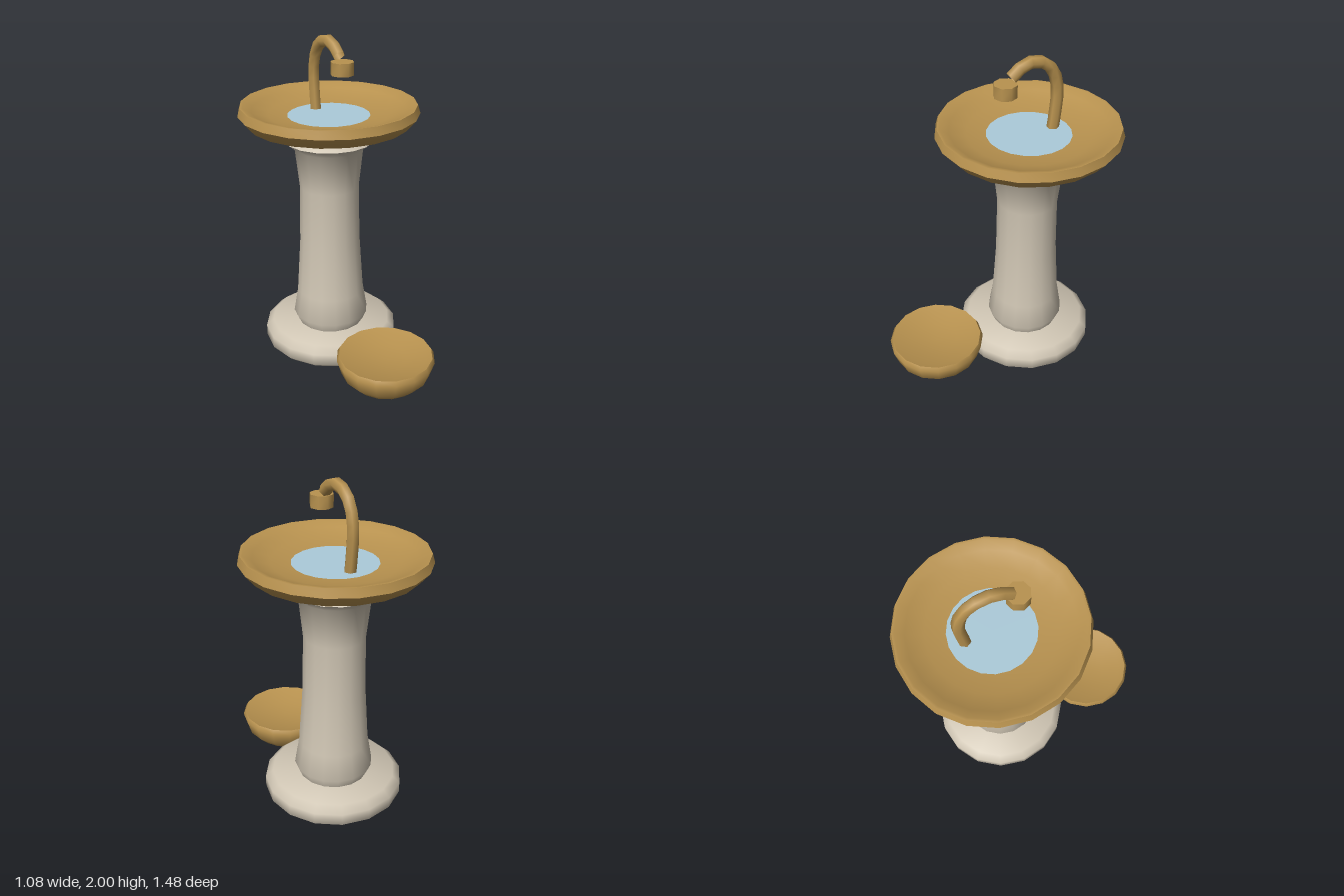
import * as THREE from 'three';
import { toCreasedNormals } from 'three/addons/utils/BufferGeometryUtils.js';

const AXIS_Z = -0.2; // centre line of pedestal and basin

const mat = (color) => new THREE.MeshStandardMaterial({ color, side: THREE.DoubleSide });

export function createModel() {
  const group = new THREE.Group();
  const stone = mat(0xd0c6b4);
  const brass = mat(0xb8924f);
  const water = mat(0xaccbda);
  const red = mat(0xb04a30);

  const add = (name, geometry, material, x, y, z) => {
    const mesh = new THREE.Mesh(geometry, material);
    mesh.name = name;
    mesh.position.set(x, y, z);
    group.add(mesh);
    return mesh;
  };

  // Turned part from [radius, height] pairs, running from the bottom up
  const turned = (name, profile, sides, material, z) => {
    const points = profile.map(([r, y]) => new THREE.Vector2(r, y));
    const geometry = toCreasedNormals(new THREE.LatheGeometry(points, sides), 0.95);
    return add(name, geometry, material, 0, 0, z);
  };

  // Round stone foot
  turned('base', [
    [0, 0], [0.38, 0], [0.425, 0.04], [0.425, 0.11], [0.38, 0.15], [0, 0.15],
  ], 16, stone, AXIS_Z);

  // Waisted column with flared collar
  turned('column', [
    [0.21, 0.14], [0.24, 0.21], [0.213, 0.37], [0.19, 0.72], [0.183, 1.08],
    [0.21, 1.33], [0.272, 1.38], [0.225, 1.42], [0.12, 1.432], [0, 1.435],
  ], 16, stone, AXIS_Z);

  // Upper dish, outside then inside
  turned('basin', [
    [0, 1.43], [0.15, 1.435], [0.34, 1.45], [0.485, 1.485], [0.54, 1.55],
    [0.525, 1.6], [0.51, 1.6], [0.46, 1.57], [0.36, 1.54], [0.25, 1.526], [0, 1.505],
  ], 20, brass, AXIS_Z);

  // Water surface
  const surface = new THREE.CircleGeometry(0.247, 20).rotateX(-Math.PI / 2);
  add('water', surface, water, 0, 1.53, AXIS_Z);

  // Low dish at the foot
  turned('lowerBowl', [
    [0, 0.035], [0.2, 0.035], [0.265, 0.1], [0.295, 0.195], [0.28, 0.22],
    [0.24, 0.208], [0.13, 0.185], [0, 0.175],
  ], 16, brass, 0.445);

  // Hooked spout
  const path = new THREE.CatmullRomCurve3([
    [1.515, -0.355], [1.62, -0.367], [1.77, -0.375], [1.88, -0.345],
    [1.945, -0.285], [1.966, -0.2], [1.95, -0.145], [1.9, -0.08],
  ].map(([y, z]) => new THREE.Vector3(0, y, z)));
  add('spout', new THREE.TubeGeometry(path, 10, 0.036, 6), brass, 0, 0, 0);

  // Nozzle below the spout tip
  const nozzle = new THREE.CylinderGeometry(0.068, 0.068, 0.075, 8);
  add('nozzle', toCreasedNormals(nozzle, 0.95), brass, 0, 1.838, -0.045);

  // Push button under the rear of the basin
  const button = add('button', new THREE.SphereGeometry(0.055, 12, 8), red, 0, 1.428, -0.395);
  button.scale.y = 0.6;

  return group;
}
